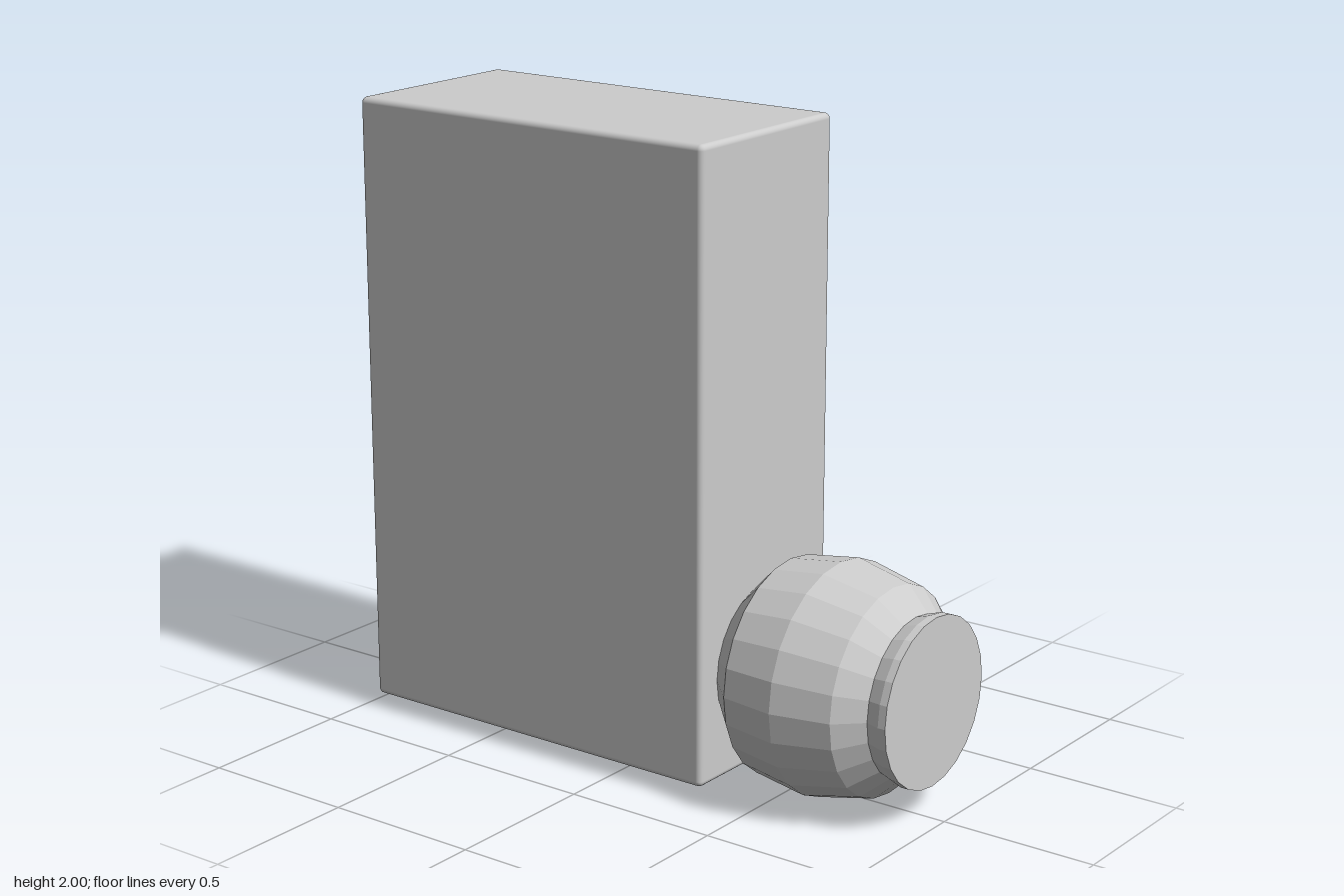
import * as THREE from 'three';
import { RoundedBoxGeometry } from 'three/addons/geometries/RoundedBoxGeometry.js';

const lightGrey = new THREE.MeshStandardMaterial({ color: 0xcccccc });
lightGrey.name = 'lightGrey';

// Faceted turned part lying along z; profile is a list of [radius, z]
function turned(name, profile) {
  const lathe = new THREE.LatheGeometry(profile.map(([r, z]) => new THREE.Vector2(r, z)), 24);
  lathe.rotateX(Math.PI / 2);
  const geometry = lathe.toNonIndexed();
  geometry.computeVertexNormals();
  const mesh = new THREE.Mesh(geometry, lightGrey);
  mesh.name = name;
  mesh.position.y = 0.37;
  return mesh;
}

export function createModel() {
  const model = new THREE.Group();
  model.name = 'boxWithKnob';

  // Tall block with softly rounded edges
  const block = new THREE.Mesh(new RoundedBoxGeometry(0.65, 1.95, 1.3, 3, 0.018), lightGrey);
  block.name = 'block';
  block.position.set(0, 1.025, -0.305);
  model.add(block);

  // Barrel-shaped knob low on the front
  model.add(turned('knob', [
    [0, 0.33], [0.24, 0.342], [0.34, 0.44], [0.366, 0.62], [0.325, 0.805], [0.25, 0.885], [0, 0.885],
  ]));

  // Flared end cap of the knob
  model.add(turned('endCap', [
    [0.25, 0.882], [0.265, 0.93], [0.265, 0.955], [0, 0.955],
  ]));

  return model;
}
